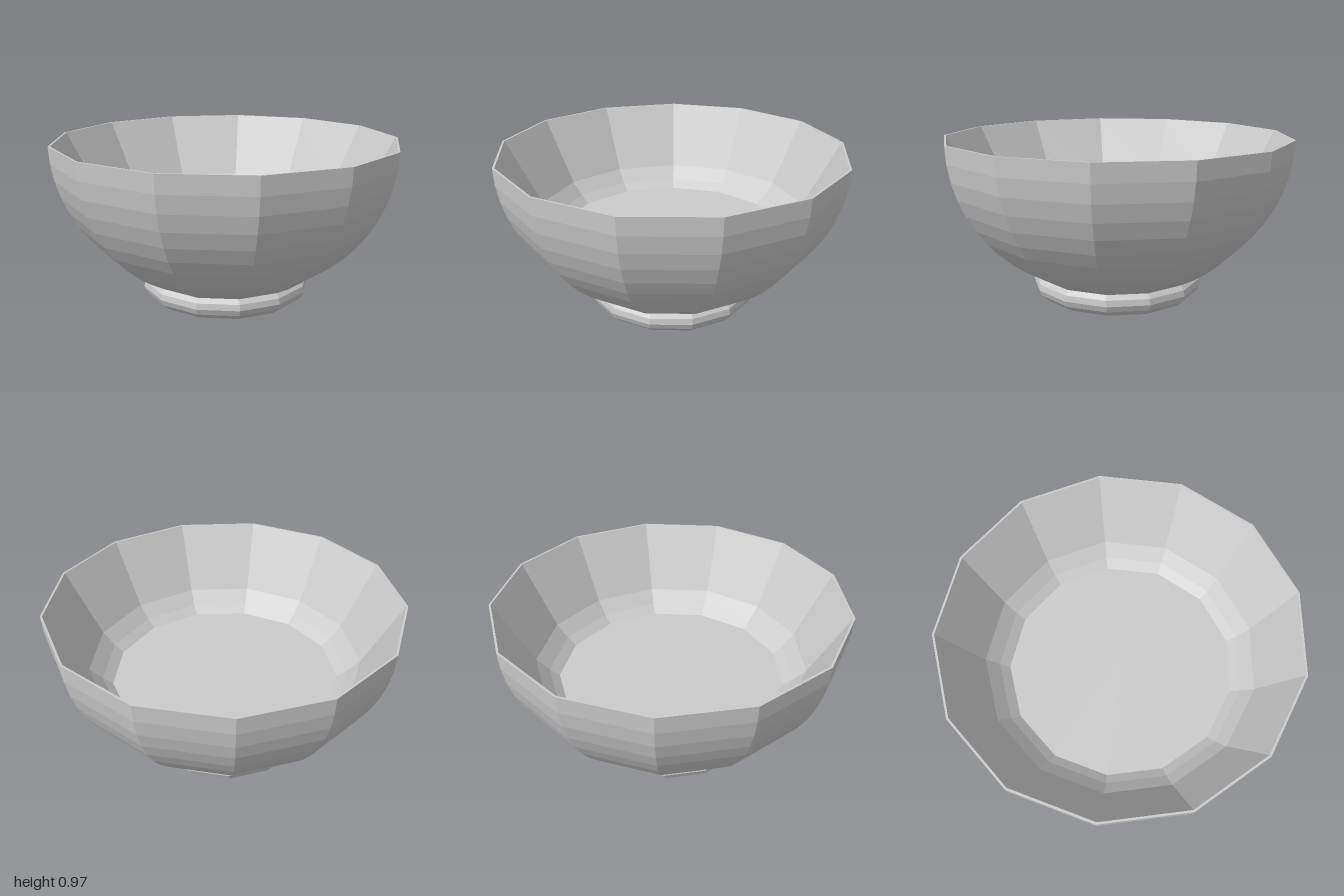
import * as THREE from 'three';

const SIDES = 13;

// Faceted solid of revolution with one corner pointing to -x
function turned(name, points, material) {
  const profile = points.map(([r, y]) => new THREE.Vector2(r, y));
  const mesh = new THREE.Mesh(new THREE.LatheGeometry(profile, SIDES, -Math.PI / 2), material);
  mesh.name = name;
  return mesh;
}

export function createModel() {
  const group = new THREE.Group();
  group.name = 'bowl';
  const material = new THREE.MeshStandardMaterial({ color: 0xcccccc, flatShading: true });

  const rimRadius = 1.007, rimY = 0.97, depth = 0.92, bottomY = 0.16;

  // Outer wall: elliptical curve from the foot up to the rim
  const wall = [];
  const steps = 10, startAngle = Math.asin((rimY - bottomY) / depth);
  for (let i = 0; i <= steps; i++) {
    const a = startAngle * (1 - i / steps);
    wall.push([rimRadius * Math.cos(a), rimY - depth * Math.sin(a)]);
  }
  // Thin rim, then the straight inner wall with a rounded transition to the floor
  wall.push([0.995, 0.97], [0.79, 0.59], [0.72, 0.515], [0.665, 0.47]);
  group.add(turned('bowlWall', wall, material));

  // Flat inner floor
  group.add(turned('innerFloor', [[0.665, 0.47], [0, 0.47]], material));

  // Rounded foot with a slightly hollow underside
  group.add(turned('foot', [
    [0, 0.015], [0.12, 0.008], [0.3, 0], [0.39, 0.008], [0.45, 0.03],
    [0.49, 0.065], [0.505, 0.1], [0.5, 0.135], [0.475, 0.165],
  ], material));

  // Centre the odd-sided outline on x
  for (const part of group.children) part.position.x = 0.0146;
  return group;
}
